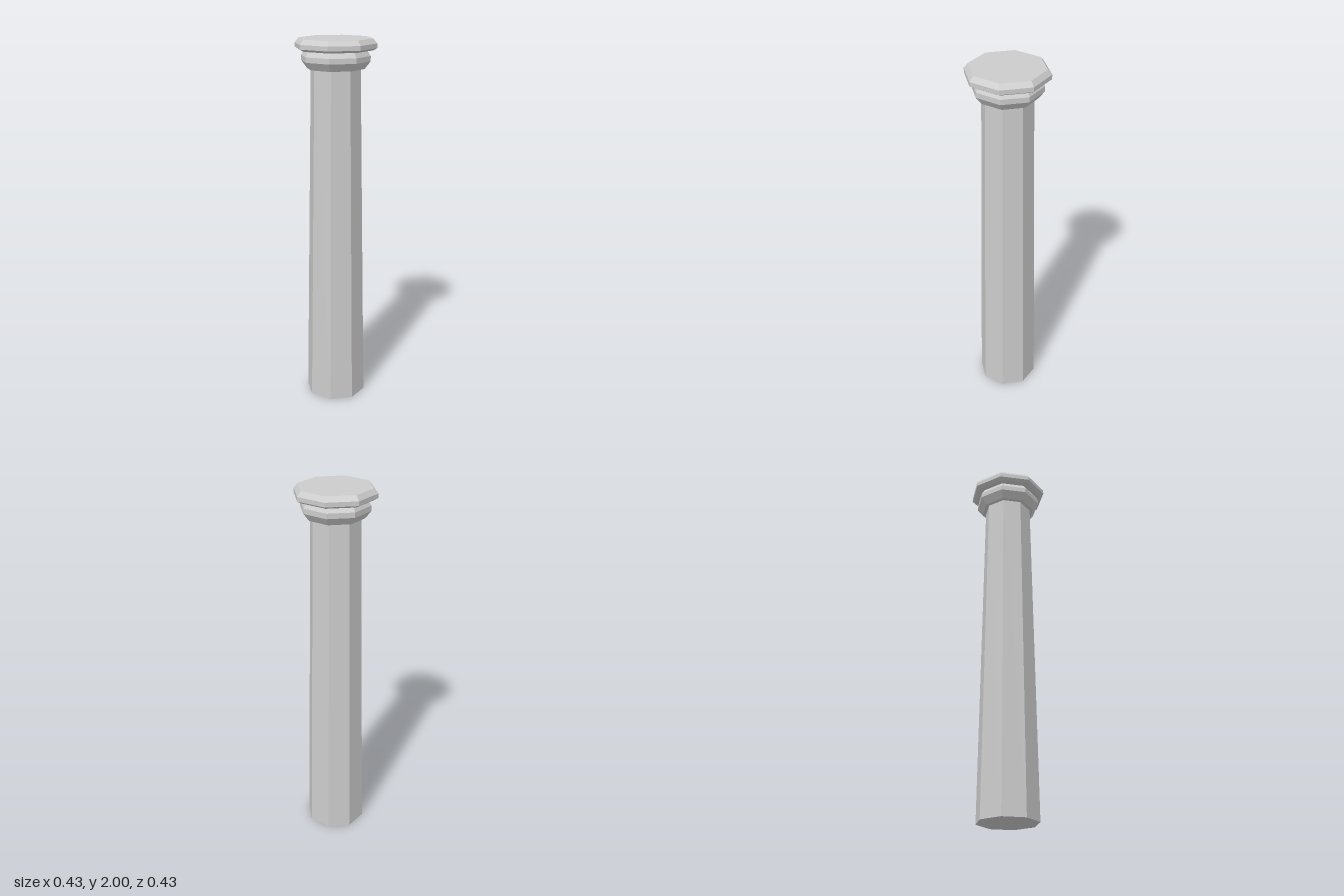
import * as THREE from 'three';

const SIDES = 8;
const material = new THREE.MeshStandardMaterial({ color: 0xcccccc, flatShading: true });

// Octagonal solid turned from [radius, height] pairs listed bottom to top
function turned(name, profile) {
  const points = profile.map(([r, y]) => new THREE.Vector2(r, y));
  const mesh = new THREE.Mesh(new THREE.LatheGeometry(points, SIDES), material);
  mesh.name = name;
  return mesh;
}

export function createModel() {
  const column = new THREE.Group();
  column.name = 'column';

  // Tapering shaft, closed at the foot
  column.add(turned('shaft', [[0, 0], [0.165, 0], [0.132, 1.85]]));

  // Capital: lower moulding, narrow neck, then the wider bevelled slab
  const capital = new THREE.Group();
  capital.name = 'capital';
  capital.add(
    turned('lowerMoulding', [[0.13, 1.845], [0.152, 1.845], [0.183, 1.885], [0.183, 1.912], [0.165, 1.94]]),
    turned('topSlab', [[0.165, 1.94], [0.195, 1.94], [0.216, 1.952], [0.216, 1.975], [0.195, 2], [0, 2]])
  );
  column.add(capital);

  return column;
}
